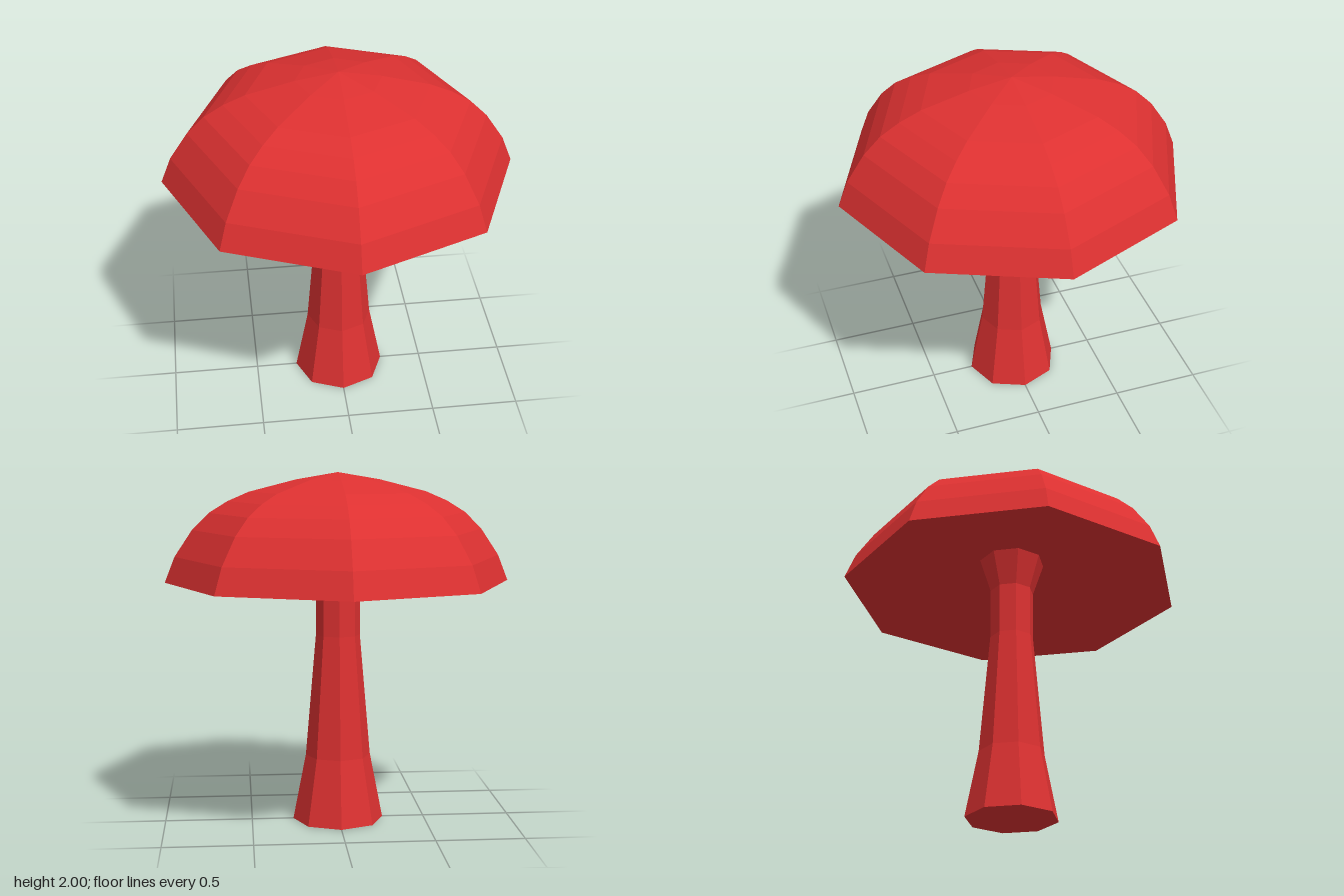
import * as THREE from 'three';

const SIDES = 8;

// Faceted solid of revolution from [radius, height] pairs, listed from bottom to top
function turned(name, profile, material) {
  const points = profile.map(([r, y]) => new THREE.Vector2(r, y));
  const mesh = new THREE.Mesh(new THREE.LatheGeometry(points, SIDES), material);
  mesh.name = name;
  return mesh;
}

export function createModel() {
  const red = new THREE.MeshStandardMaterial({ color: 0xdd3131, flatShading: true });
  red.name = 'red';

  const group = new THREE.Group();
  group.name = 'mushroom';

  // Stem: closed wide foot, slim neck, flaring out under the cap
  group.add(turned('stem', [
    [0, 0], [0.26, 0], [0.186, 0.38], [0.126, 1.08], [0.126, 1.38], [0.19, 1.575],
  ], red));

  // Cap: hollow conical underside, rim, then the stepped dome
  group.add(turned('cap', [
    [0.19, 1.575], [0.977, 1.385], [0.92, 1.53], [0.82, 1.68], [0.725, 1.775],
    [0.62, 1.84], [0.5, 1.892], [0.235, 1.96], [0, 2],
  ], red));

  return group;
}
